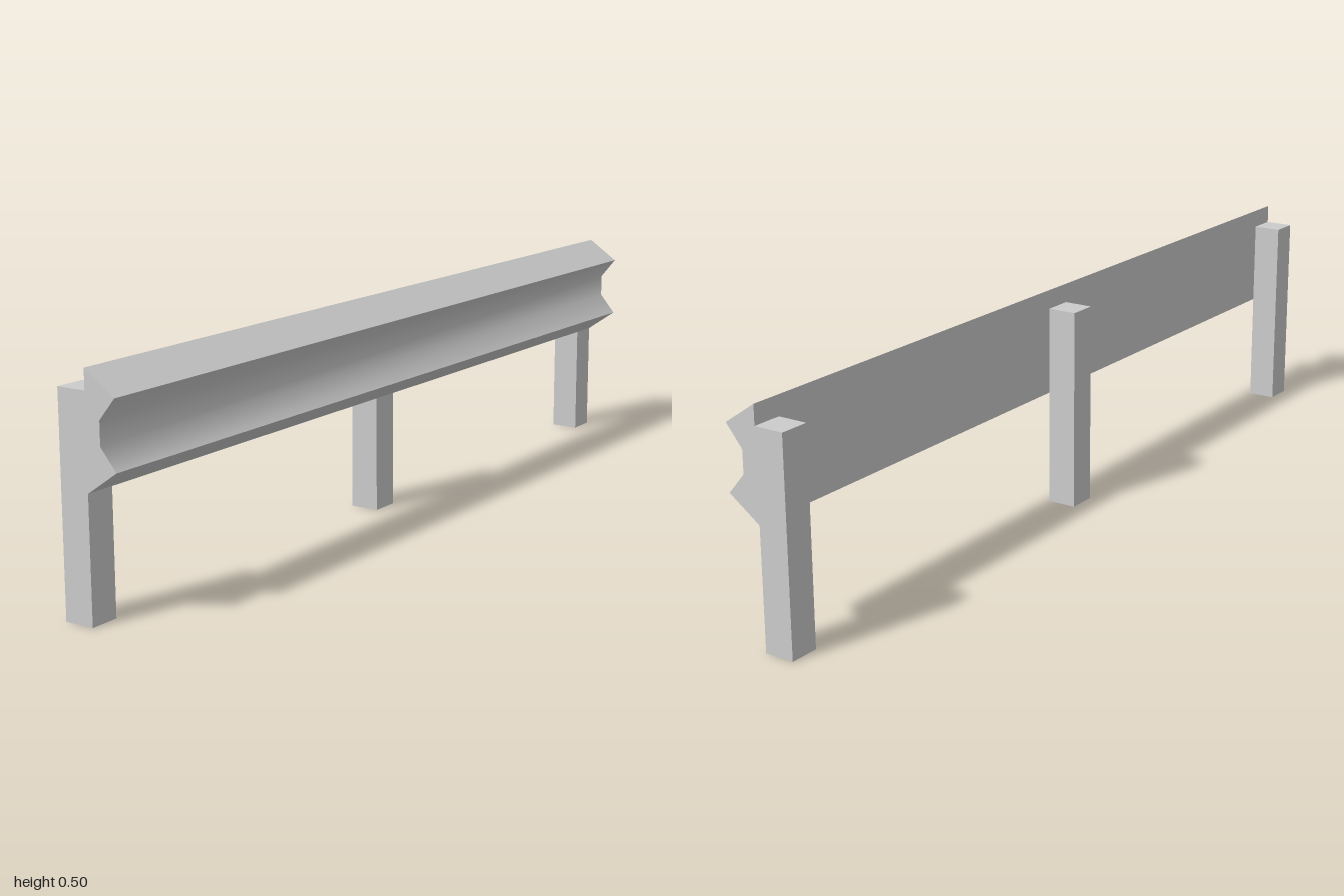
import * as THREE from 'three';
import { toCreasedNormals } from 'three/addons/utils/BufferGeometryUtils.js';

export function createModel() {
  const model = new THREE.Group();
  model.name = 'guardRail';
  const material = new THREE.MeshStandardMaterial({ color: 0xcccccc });

  // Rail: constant cross-section swept along z, with a softly shaded groove
  const backX = -0.003, length = 2;
  const profile = [
    [backX, 0.263], [0.069, 0.313], [0.031, 0.358],
    [0.031, 0.408], [0.069, 0.454], [backX, 0.503],
  ].map(([x, y]) => new THREE.Vector2(x, y));
  const railGeometry = new THREE.ExtrudeGeometry(new THREE.Shape(profile), {
    depth: length, bevelEnabled: false,
  }).translate(0, 0, -length / 2);
  const rail = new THREE.Mesh(toCreasedNormals(railGeometry, 0.9), material);
  rail.name = 'rail';
  model.add(rail);

  // Posts: square, standing behind the rail, the outer two flush with its ends
  const postWidth = 0.067, postHeight = 0.46;
  const postGeometry = new THREE.BoxGeometry(postWidth, postHeight, postWidth);
  const endZ = (length - postWidth) / 2;
  [['frontPost', endZ], ['middlePost', 0], ['rearPost', -endZ]].forEach(([name, z]) => {
    const post = new THREE.Mesh(postGeometry, material);
    post.name = name;
    post.position.set(backX - postWidth / 2, postHeight / 2, z);
    model.add(post);
  });

  return model;
}
